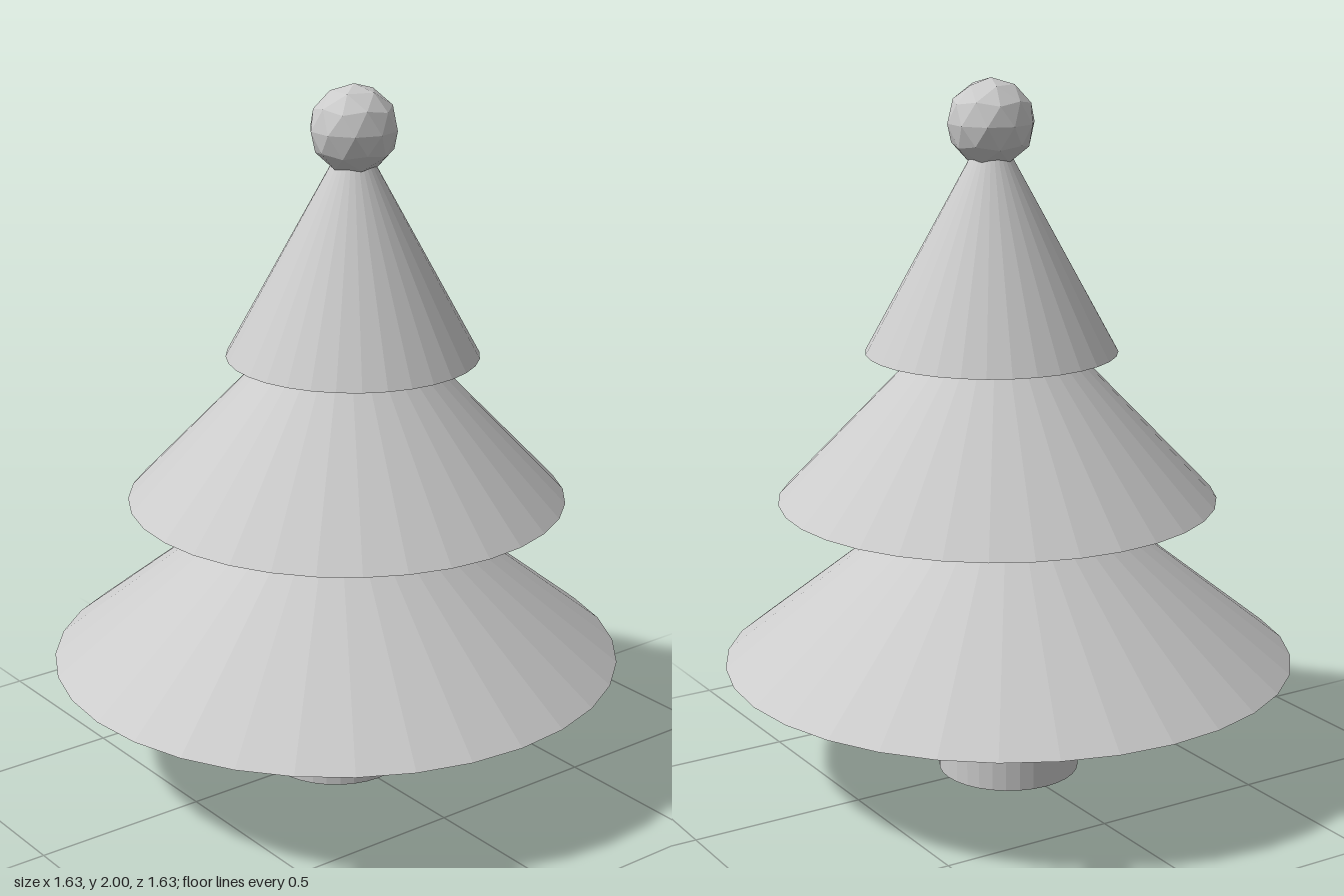
import * as THREE from 'three';

const SIDES = 32;

export function createModel() {
  const tree = new THREE.Group();
  tree.name = 'tree';
  const material = new THREE.MeshStandardMaterial({ color: 0xcccccc, flatShading: true });

  const add = (name, geometry, x, y, z) => {
    const mesh = new THREE.Mesh(geometry, material);
    mesh.name = name;
    mesh.position.set(x, y, z);
    tree.add(mesh);
    return mesh;
  };

  // Trunk, its top sunk a little into the lowest tier
  const trunkHeight = 0.4;
  add('trunk', new THREE.CylinderGeometry(0.203, 0.203, trunkHeight, SIDES), 0, trunkHeight / 2, 0);

  // Three closed cones of equal height, the upper ones slightly off centre
  const tierHeight = 0.65;
  const tiers = [
    { name: 'lowerTier', radius: 0.815, base: 0.345, x: 0, z: 0 },
    { name: 'middleTier', radius: 0.622, base: 0.82, x: 0.029, z: 0.013 },
    { name: 'upperTier', radius: 0.355, base: 1.24, x: 0.036, z: 0.031 },
  ];
  for (const { name, radius, base, x, z } of tiers) {
    add(name, new THREE.ConeGeometry(radius, tierHeight, SIDES), x, base + tierHeight / 2, z);
  }

  // Faceted ball on the tip, turned so that a corner points straight up
  const ball = new THREE.IcosahedronGeometry(0.123, 1);
  ball.rotateZ(-Math.atan(2 / (1 + Math.sqrt(5))));
  add('topBall', ball, 0.033, 1.877, 0.037);

  return tree;
}
